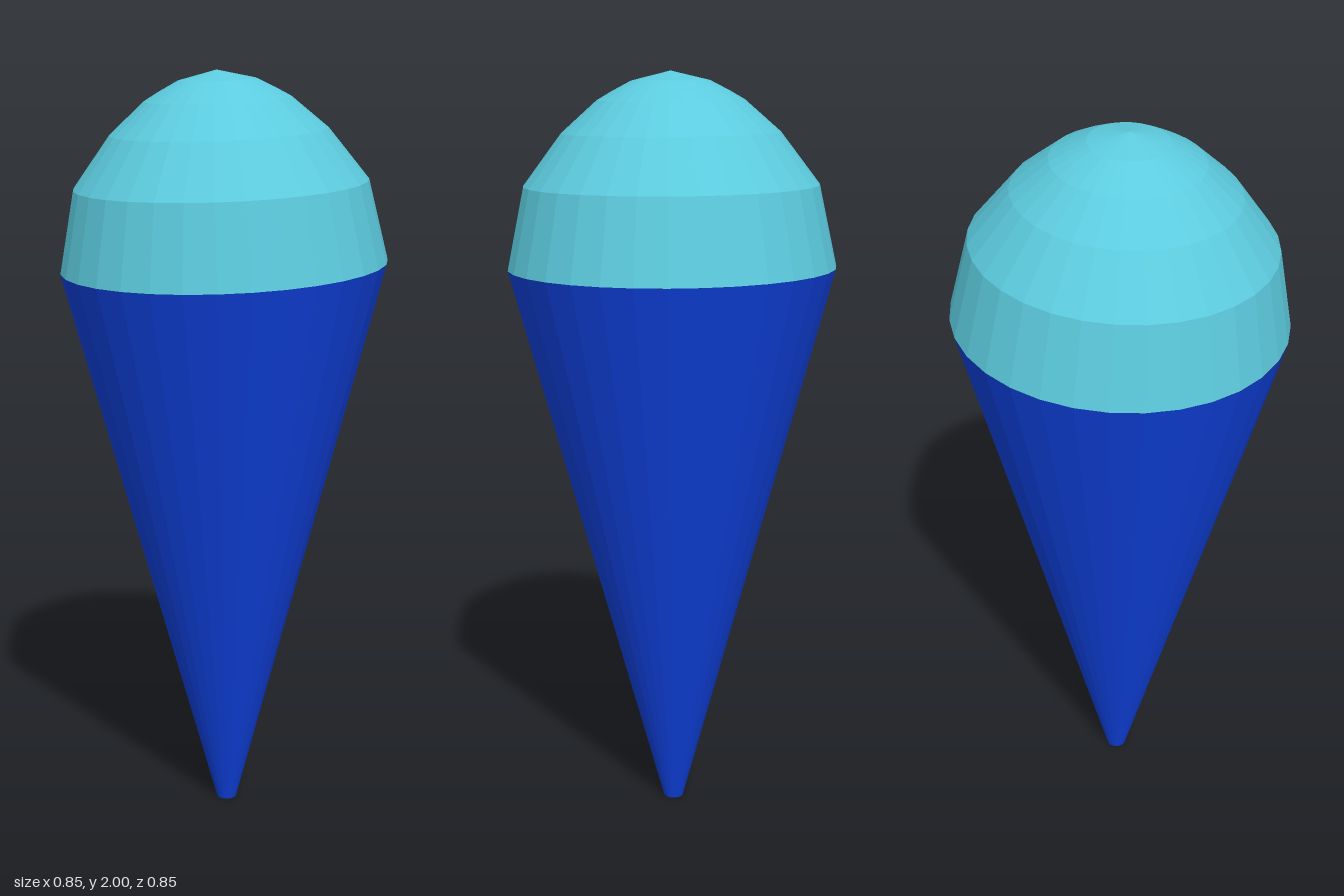
import * as THREE from 'three';

const SEGMENTS = 32;
const RIM_Y = 1.505;
const TILT_X = 0.036; // lean of the dome towards +z
const TILT_Z = 0.034; // lean of the dome towards -x
const TIP = { x: 0.007, z: -0.011, r: 0.027 };

function lathe(profile) {
  const points = profile.map(([r, y]) => new THREE.Vector2(r, y));
  return new THREE.LatheGeometry(points, SEGMENTS, 0.05);
}

export function createModel() {
  const blue = new THREE.MeshStandardMaterial({ name: 'coneBlue', color: 0x0f40dc, flatShading: true });
  const cyan = new THREE.MeshStandardMaterial({ name: 'scoopCyan', color: 0x5ccbde, flatShading: true });
  const model = new THREE.Group();
  model.name = 'iceCreamCone';

  function add(name, geometry, material) {
    const mesh = new THREE.Mesh(geometry, material);
    mesh.name = name;
    model.add(mesh);
    return mesh;
  }

  // Cone: the tip is slightly off centre and the rim leans with the scoop
  const coneGeometry = lathe([[TIP.r, 0], [0.425, RIM_Y]]);
  const p = coneGeometry.attributes.position;
  for (let i = 0; i < p.count; i++) {
    const x = p.getX(i), y = p.getY(i), z = p.getZ(i);
    if (y > 1) p.setY(i, y + TILT_Z * x - TILT_X * z);
    else p.setXYZ(i, x + TIP.x, y, z + TIP.z);
  }
  coneGeometry.computeVertexNormals();
  add('cone', coneGeometry, blue);

  // Flat end closing the tip
  const tip = add('tipCap', new THREE.CircleGeometry(TIP.r, SEGMENTS), cyan);
  tip.rotation.x = Math.PI / 2;
  tip.position.set(TIP.x, 0, TIP.z);

  // Faceted scoop, leaning a little
  const scoop = add('scoop', lathe([
    [0.425, 0], [0.38, 0.21], [0.28, 0.342], [0.188, 0.423],
    [0.15, 0.445], [0.1, 0.471], [0, 0.495],
  ]), cyan);
  scoop.position.y = RIM_Y;
  scoop.rotation.set(TILT_X, 0, TILT_Z);

  return model;
}
